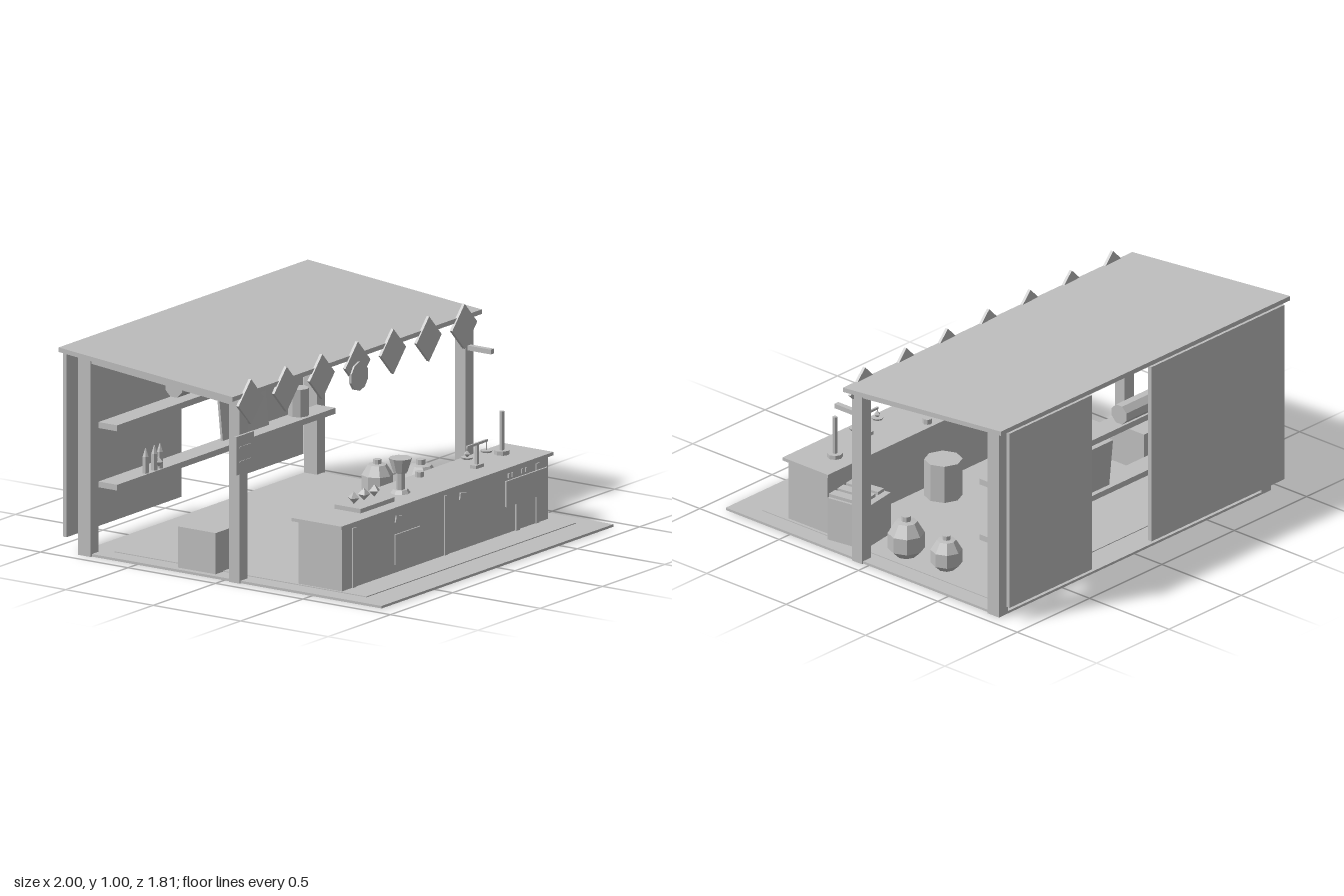
import * as THREE from 'three';

export function createModel() {
  const model = new THREE.Group();
  model.name = 'marketStall';
  const grey = new THREE.MeshStandardMaterial({ color: 0xbebebe });
  grey.name = 'plainGrey';

  // Low-poly helpers: every part gets hard facets
  function add(name, geometry, x, y, z, rx = 0, ry = 0, rz = 0) {
    const g = geometry.index ? geometry.toNonIndexed() : geometry;
    g.computeVertexNormals();
    const mesh = new THREE.Mesh(g, grey);
    mesh.name = name;
    mesh.position.set(x, y, z);
    mesh.rotation.set(rx, ry, rz);
    model.add(mesh);
    return mesh;
  }
  // Box given by its limits on each axis
  const span = (name, x0, x1, y0, y1, z0, z1) =>
    add(name, new THREE.BoxGeometry(x1 - x0, y1 - y0, z1 - z0), (x0 + x1) / 2, (y0 + y1) / 2, (z0 + z1) / 2);
  const box = (name, w, h, d, x, y, z, rx, ry, rz) =>
    add(name, new THREE.BoxGeometry(w, h, d), x, y, z, rx, ry, rz);
  // Upright cylinder standing on y
  const cyl = (name, rTop, rBottom, h, x, y, z, sides = 8) =>
    add(name, new THREE.CylinderGeometry(rTop, rBottom, h, sides), x, y + h / 2, z);
  const gem = (name, r, x, y, z, turn = 0) => add(name, new THREE.OctahedronGeometry(r), x, y, z, 0, turn, 0);
  // Beam with a sloping top and bottom, drawn as (z, y) points and extruded along x
  function sloped(name, points, x0, x1) {
    const shape = new THREE.Shape(points.map(([z, y]) => new THREE.Vector2(-z, y)));
    const g = new THREE.ExtrudeGeometry(shape, { depth: x1 - x0, bevelEnabled: false });
    g.rotateY(Math.PI / 2);
    return add(name, g, x0, 0, 0);
  }

  // Floor
  span('floor', -0.93, 0.93, 0, 0.012, -0.83, 0.9);
  span('floorInlay', -0.84, 0.84, 0.012, 0.016, -0.69, 0.75);

  // Frame and roof
  for (const s of [-1, 1]) {
    const x = s * 0.908;
    span('frontPost', x - 0.032, x + 0.032, 0, 0.888, 0.034, 0.094);
    span('backPost', x - 0.032, x + 0.032, 0, 0.967, -0.83, -0.757);
    sloped('sideBeam', [[0.034, 0.852], [0.034, 0.89], [-0.757, 0.965], [-0.757, 0.928]], x - 0.025, x + 0.025);
  }
  sloped('roof', [[0.098, 0.888], [0.098, 0.91], [-0.897, 1.0], [-0.897, 0.978]], -1, 1);

  // Back wall panels with a gap between
  span('backPanelWide', -0.95, -0.03, 0.078, 0.975, -0.907, -0.886);
  span('backPanelNarrow', 0.38, 0.95, 0.078, 0.975, -0.907, -0.886);

  // Diamond bunting and round badge
  for (let i = -3; i <= 3; i++)
    box('buntingFlag', 0.153, 0.153, 0.014, i * 0.2857, 0.859, 0.095, 0, 0.05, Math.PI / 4);
  add('roundBadge', new THREE.CylinderGeometry(0.07, 0.07, 0.014, 10), 0, 0.802, 0.106, Math.PI / 2, 0, 0);

  // Post fittings
  span('lampArm', 0.892, 0.918, 0.735, 0.758, 0.09, 0.226);
  span('noticeBoard', -0.98, -0.84, 0.53, 0.715, 0.094, 0.106);
  for (const y of [0.585, 0.655]) span('noticeLine', -0.955, -0.87, y, y + 0.008, 0.106, 0.109);

  // Counter
  span('counterBody', -0.83, 0.825, 0.014, 0.318, 0.354, 0.602);
  span('counterTop', -0.853, 0.85, 0.318, 0.334, 0.33, 0.615);
  for (const x of [-0.735, 0, 0.735]) span('counterBatten', x - 0.013, x + 0.013, 0.016, 0.303, 0.602, 0.608);
  span('counterPlate', -0.41, -0.205, 0.055, 0.2, 0.602, 0.609);
  box('priceTag', 0.05, 0.034, 0.007, -0.38, 0.27, 0.606, 0, 0, -0.2);
  box('priceTag', 0.05, 0.034, 0.007, 0.135, 0.27, 0.606, 0, 0, -0.2);
  span('counterSign', 0.47, 0.803, 0.148, 0.272, 0.608, 0.617);
  span('signStalk', 0.555, 0.582, 0.012, 0.148, 0.604, 0.613);
  for (const x of [0.5, 0.53, 0.605, 0.64]) span('signClip', x, x + 0.01, 0.28, 0.302, 0.602, 0.608);

  // Tray with gems
  span('tray', -0.6, -0.33, 0.334, 0.355, 0.395, 0.545);
  [-0.55, -0.467, -0.384].forEach((x, i) => gem('trayGem', 0.03, x, 0.388, 0.47, i * 0.5 + 0.2));
  cyl('coaster', 0.033, 0.033, 0.012, -0.335, 0.334, 0.405);

  // Goblet
  cyl('gobletBase', 0.035, 0.048, 0.018, -0.178, 0.334, 0.472);
  cyl('gobletStem', 0.022, 0.022, 0.08, -0.178, 0.352, 0.472);
  cyl('gobletCup', 0.056, 0.033, 0.07, -0.178, 0.432, 0.472);
  cyl('inkPot', 0.022, 0.022, 0.025, 0.118, 0.334, 0.37);

  // Balance scales
  span('scaleBase', 0.378, 0.44, 0.334, 0.35, 0.472, 0.508);
  span('scalePost', 0.402, 0.416, 0.35, 0.45, 0.483, 0.497);
  span('scaleBeam', 0.328, 0.49, 0.442, 0.453, 0.485, 0.495);
  for (const x of [0.332, 0.487]) {
    cyl('scalePan', 0.03, 0.026, 0.009, x, 0.392, 0.49);
    cyl('scaleWire', 0.003, 0.003, 0.045, x, 0.4, 0.49, 4);
  }
  gem('weighedGem', 0.018, 0.332, 0.415, 0.49);

  // Candlestick
  cyl('candleBase', 0.037, 0.037, 0.02, 0.68, 0.334, 0.44);
  cyl('candle', 0.012, 0.012, 0.186, 0.68, 0.354, 0.44);

  // Back shelves
  span('lowerShelf', -0.876, 0.876, 0.322, 0.35, -0.757, -0.65);
  span('upperShelf', -0.876, 0.876, 0.607, 0.636, -0.757, -0.65);
  for (const x of [-0.62, -0.55, -0.505]) {
    cyl('bottle', 0.016, 0.016, 0.08, x, 0.35, -0.67, 6);
    cyl('bottleTip', 0.002, 0.016, 0.04, x, 0.43, -0.67, 6);
  }
  gem('shelfGem', 0.025, -0.53, 0.388, -0.66);
  cyl('shelfJar', 0.05, 0.05, 0.132, 0.67, 0.35, -0.715);
  gem('upperShelfGem', 0.026, 0.615, 0.683, -0.73);
  add('clothRoll', new THREE.CylinderGeometry(0.05, 0.05, 0.31, 8).rotateY(Math.PI / 8), -0.155, 0.686, -0.73, 0, 0, Math.PI / 2);
  box('leaningBoard', 0.37, 0.24, 0.012, 0.255, 0.468, -0.738, -0.1, 0, 0);
  add('boardDisc', new THREE.CylinderGeometry(0.052, 0.052, 0.008, 8), 0.283, 0.48, -0.731, Math.PI / 2 - 0.1, 0, 0);

  // Crates and stool
  span('leftCrate', -0.9, -0.66, 0.012, 0.21, -0.286, -0.07);
  box('rightCrate', 0.212, 0.214, 0.212, 0.745, 0.119, 0.228, 0, 0.15, 0);
  for (const o of [-0.07, 0, 0.07])
    box('crateSlat', 0.05, 0.016, 0.18, 0.745 + o, 0.234, 0.245 - o * 0.15, 0, 0.15, 0);
  cyl('stool', 0.09, 0.09, 0.19, 0.15, 0.012, 0.24);

  // Faceted pots
  function pot(r, h, x, z) {
    const profile = [[0, 0], [0.5, 0], [1, 0.2], [1, 0.58], [0.6, 0.86], [0.26, 0.88], [0.26, 1], [0, 1]]
      .map(([a, b]) => new THREE.Vector2(a * r, b * h));
    add('pot', new THREE.LatheGeometry(profile, 8), x, 0.012, z);
  }
  pot(0.087, 0.206, 0.75, -0.073);
  pot(0.075, 0.174, 0.73, -0.308);

  return model;
}
